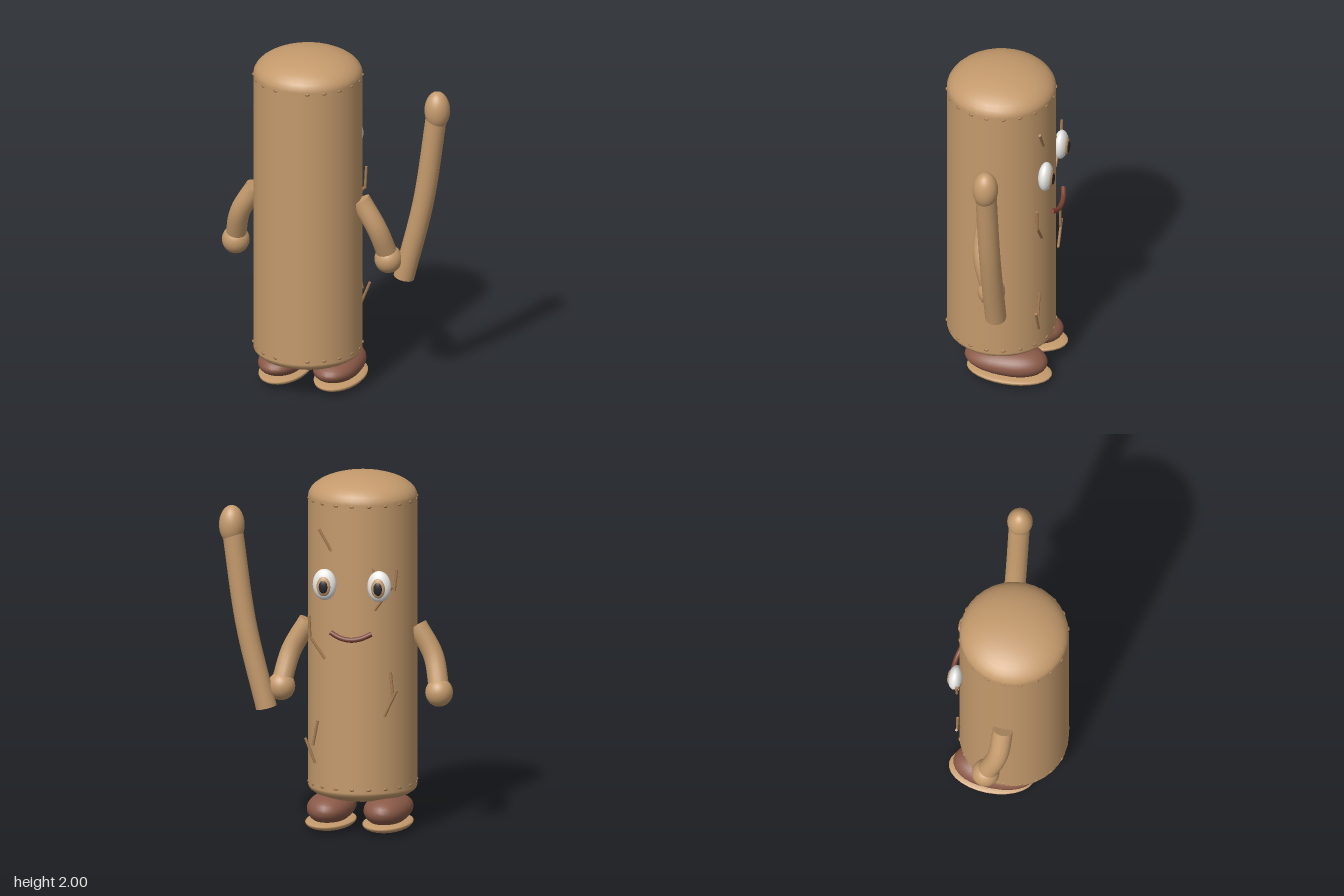
import * as THREE from 'three';

const mat = (name, color) => {
  const m = new THREE.MeshStandardMaterial({ color });
  m.name = name;
  return m;
};
const V = (x, y, z) => new THREE.Vector3(x, y, z);

const CX = -0.135, CZ = 0.025, R = 0.303; // log axis and radius

export function createModel() {
  const root = new THREE.Group();
  root.name = 'logCharacter';
  const wood = mat('tan wood', 0xc49a6c);
  const bark = mat('darker bark', 0xa67c52);
  const shoeBrown = mat('shoe brown', 0x8b5a48);
  const mouthBrown = mat('mouth brown', 0x7a4030);
  const white = mat('eye white', 0xf2f2f0);
  const black = mat('pupil black', 0x26262c);

  const add = (name, geo, material, x = 0, y = 0, z = 0) => {
    const mesh = new THREE.Mesh(geo, material);
    mesh.name = name;
    mesh.position.set(x, y, z);
    root.add(mesh);
    return mesh;
  };
  const ellipsoid = (name, material, p, r) =>
    add(name, new THREE.SphereGeometry(1, 28, 18).scale(...r), material, ...p);

  // Tube through a few points, closed with a disc at each end
  const limb = (name, points, radius, material) => {
    const curve = new THREE.CatmullRomCurve3(points);
    add(name, new THREE.TubeGeometry(curve, 20, radius, 16), material);
    for (const t of [0, 1]) {
      const p = curve.getPoint(t);
      const cap = add(name + 'End', new THREE.CircleGeometry(radius, 16), material, p.x, p.y, p.z);
      cap.lookAt(p.clone().addScaledVector(curve.getTangent(t), t ? 1 : -1));
    }
  };

  // Log body with shallow domes
  add('body', new THREE.CylinderGeometry(R, R, 1.625, 32, 1, true), wood, CX, 1.0525, CZ);
  add('topDome', new THREE.SphereGeometry(1, 32, 10, 0, Math.PI * 2, 0, Math.PI / 2).scale(R, 0.135, R),
    wood, CX, 1.865, CZ);
  add('bottomDome', new THREE.SphereGeometry(1, 32, 10, 0, Math.PI * 2, Math.PI / 2, Math.PI / 2).scale(R, 0.085, R),
    wood, CX, 0.24, CZ);

  // Ring of small knots near each rim
  for (const y of [1.857, 0.26]) {
    for (let i = 1; i < 20; i++) {
      const a = (i / 20) * Math.PI * 2;
      const knot = add('rimKnot', new THREE.SphereGeometry(1, 10, 8).scale(0.014, 0.008, 0.006), bark,
        CX + Math.sin(a) * R, y, CZ + Math.cos(a) * R);
      knot.rotation.y = a;
    }
  }

  for (const s of [-1, 1]) {
    const side = s > 0 ? 'left' : 'right';
    // Arm and round hand
    limb(side + 'Arm', [
      V(CX + s * 0.305, 1.145, 0.025), V(CX + s * 0.4, 0.98, 0.015), V(CX + s * 0.445, 0.8, -0.045),
    ], 0.057, wood);
    ellipsoid(side + 'Hand', wood, [CX + s * 0.445, 0.785, -0.045], [0.077, 0.08, 0.077]);

    // Shoe: ellipsoid squared off along its length, fuller at the toe
    const shoe = new THREE.SphereGeometry(1, 28, 18);
    const p = shoe.attributes.position;
    for (let i = 0; i < p.count; i++) {
      const z = p.getZ(i);
      p.setY(i, p.getY(i) * (1 - 0.18 * z));
      p.setZ(i, Math.sign(z) * Math.pow(Math.abs(z), 0.85));
    }
    shoe.scale(0.13, 0.082, 0.236);
    shoe.computeVertexNormals();
    add(side + 'Shoe', shoe, shoeBrown, CX + s * 0.16, 0.122, -0.048);

    // Sole: thin rim with a rounded underside
    const sole = new THREE.SphereGeometry(1, 28, 16);
    const q = sole.attributes.position;
    for (let i = 0; i < q.count; i++) q.setY(i, q.getY(i) * (q.getY(i) > 0 ? 0.02 : 0.044));
    sole.scale(0.137, 1, 0.243);
    sole.computeVertexNormals();
    add(side + 'Sole', sole, wood, CX + s * 0.161, 0.048, -0.067);

    // Eye with iris and pupil
    const ex = CX + s * 0.154;
    ellipsoid(side + 'Eye', white, [ex, 1.415, -0.274], [0.067, 0.088, 0.04]);
    ellipsoid(side + 'Iris', wood, [ex, 1.41, -0.302], [0.04, 0.056, 0.019]);
    ellipsoid(side + 'Pupil', black, [ex, 1.408, -0.313], [0.026, 0.038, 0.012]);
  }

  // Smile
  limb('mouth', [
    V(-0.25, 1.15, -0.298), V(-0.195, 1.125, -0.313), V(-0.135, 1.115, -0.318),
    V(-0.075, 1.125, -0.313), V(-0.02, 1.15, -0.298),
  ], 0.014, mouthBrown);

  // Raised club with a rounded tip
  limb('club', [V(0.385, 0.67, -0.092), V(0.5, 1.14, -0.092), V(0.575, 1.65, -0.09)], 0.059, wood);
  ellipsoid('clubTip', wood, [0.581, 1.692, -0.088], [0.071, 0.11, 0.071]);

  // Bark slivers on the face side: x, y of both ends
  const slivers = [
    [0.056, 1.72, -0.014, 1.6], [-0.383, 1.51, -0.37, 1.39], [-0.355, 1.41, -0.258, 1.275],
    [-0.244, 1.51, -0.3, 1.4], [0.112, 1.23, 0.105, 1.1], [0.105, 1.11, 0.021, 0.99],
    [0.063, 0.64, 0.09, 0.5], [0.133, 0.54, 0.077, 0.4],
    [-0.348, 0.93, -0.362, 0.79], [-0.383, 0.83, -0.313, 0.68],
  ];
  for (const [x0, y0, x1, y1] of slivers) {
    const len = Math.hypot(x1 - x0, y1 - y0);
    const m = add('barkSliver', new THREE.CylinderGeometry(0.008, 0.008, len, 8), bark,
      (x0 + x1) / 2, (y0 + y1) / 2, -0.25);
    m.rotation.z = Math.atan2(x1 - x0, y0 - y1);
  }

  return root;
}
